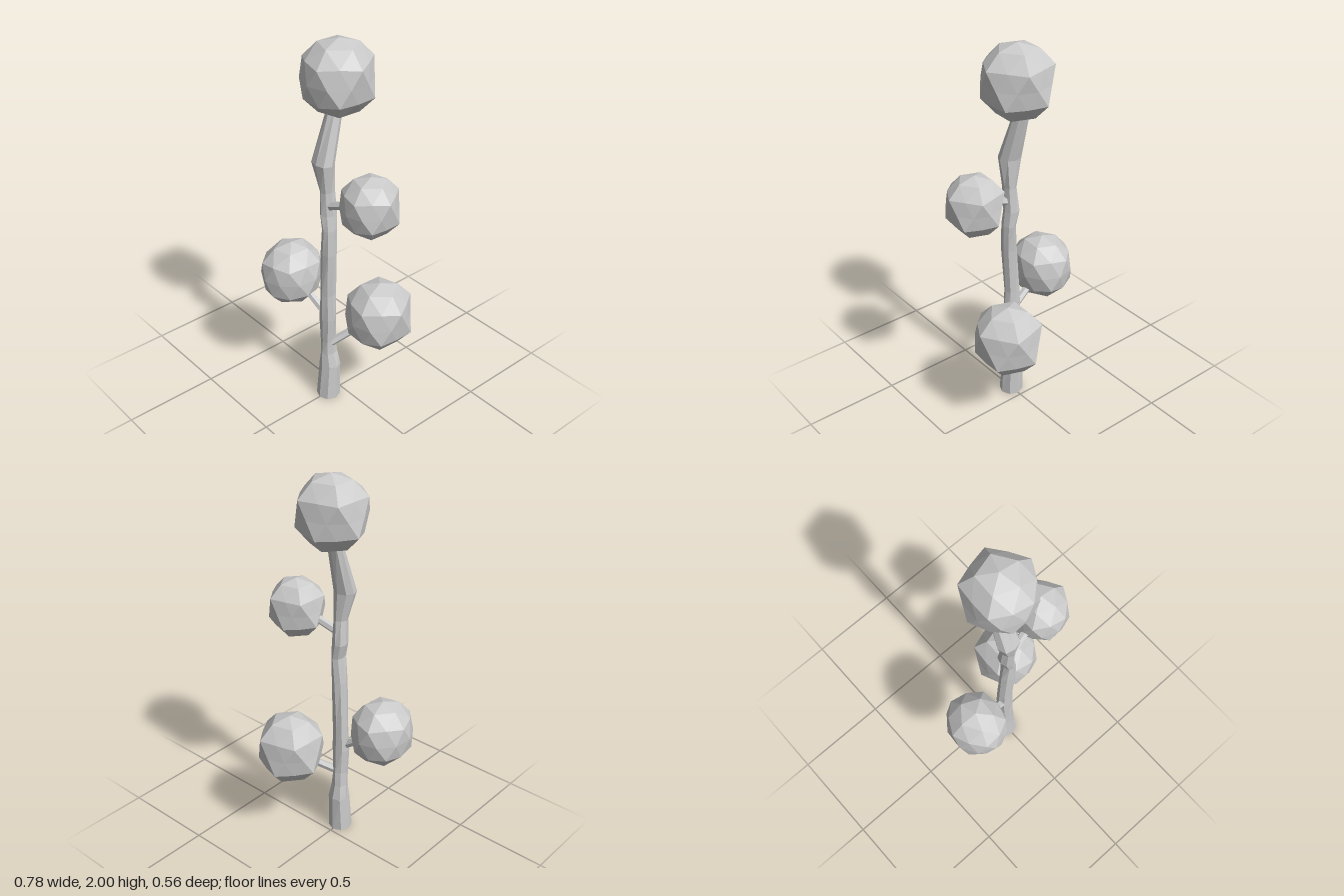
import * as THREE from 'three';

const material = new THREE.MeshStandardMaterial({ color: 0xcccccc, flatShading: true });

// Trunk rings: [height, centre x, centre z, radius x, radius z]
const RINGS = [
  [0, 0, 0.08, 0.062, 0.062],
  [0.2, 0.001, 0.068, 0.055, 0.054],
  [0.28, -0.003, 0.073, 0.04, 0.044],
  [0.36, -0.003, 0.075, 0.038, 0.04],
  [0.5, -0.004, 0.075, 0.046, 0.04],
  [0.65, -0.004, 0.075, 0.04, 0.038],
  [0.9, 0.007, 0.078, 0.04, 0.04],
  [1.04, 0.014, 0.074, 0.031, 0.042],
  [1.12, 0, 0.072, 0.037, 0.044],
  [1.25, 0.002, 0.08, 0.032, 0.04],
  [1.4, -0.01, 0.09, 0.06, 0.052],
  [1.68, -0.018, 0.006, 0.038, 0.034],
];

// Knobbly eight-sided stem lofted through the rings
function makeTrunk() {
  const n = RINGS.length - 1;
  const geo = new THREE.CylinderGeometry(1, 1, n, 8, n);
  const p = geo.attributes.position;
  for (let i = 0; i < p.count; i++) {
    const k = Math.round(p.getY(i) + n / 2);
    const [y, cx, cz, rx, rz] = RINGS[k];
    const x = p.getX(i), z = p.getZ(i);
    const side = Math.round(Math.atan2(z, x) / (Math.PI / 4) + 8) % 8;
    const bump = k === 0 ? 1 : 1 + 0.06 * Math.sin(side * 2.4 + k * 1.9);
    p.setXYZ(i, cx + x * rx * bump, y, cz + z * rz * bump);
  }
  const mesh = new THREE.Mesh(geo, material);
  mesh.name = 'trunk';
  return mesh;
}

// Faceted ball: full caps, a pinched waist, and flatter facets round the back
function makeFoliage(name, [x, y, z], [rx, ry, rz], waist, turn = 0) {
  const geo = new THREE.IcosahedronGeometry(1, 1);
  geo.rotateX(-Math.atan((1 + Math.sqrt(5)) / 2));
  geo.rotateY(THREE.MathUtils.degToRad(15));
  const p = geo.attributes.position;
  const v = new THREE.Vector3();
  for (let i = 0; i < p.count; i++) {
    v.fromBufferAttribute(p, i);
    const h = Math.abs(v.y);
    const front = THREE.MathUtils.smoothstep(v.z, 0.1, 0.8);
    if (h < 0.1) v.multiplyScalar(THREE.MathUtils.lerp(waist, 0.93, front));
    else if (Math.abs(h - 0.526) < 0.02) v.multiplyScalar(THREE.MathUtils.lerp(waist + 0.03, 0.98, front));
    p.setXYZ(i, v.x, v.y, v.z);
  }
  geo.rotateY(turn);
  geo.scale(rx, ry, rz);
  const mesh = new THREE.Mesh(geo, material);
  mesh.name = name;
  mesh.position.set(x, y, z);
  return mesh;
}

// Short tapered twig from the trunk into a foliage ball
function makeBranch(name, from, to) {
  const a = new THREE.Vector3(...from), b = new THREE.Vector3(...to);
  const dir = b.clone().sub(a);
  const mesh = new THREE.Mesh(new THREE.CylinderGeometry(0.02, 0.022, dir.length(), 6), material);
  mesh.name = name;
  mesh.position.copy(a).add(b).multiplyScalar(0.5);
  mesh.quaternion.setFromUnitVectors(new THREE.Vector3(0, 1, 0), dir.normalize());
  return mesh;
}

export function createModel() {
  const tree = new THREE.Group();
  tree.name = 'tree';
  tree.add(
    makeTrunk(),
    makeFoliage('topFoliage', [0.006, 1.815, 0.012], [0.192, 0.185, 0.19], 0.85),
    makeFoliage('upperLeftFoliage', [0.25, 1.255, 0.028], [0.157, 0.155, 0.155], 0.85),
    makeFoliage('lowerLeftFoliage', [0.173, 0.528, -0.118], [0.188, 0.188, 0.188], 0.85),
    makeFoliage('rightFoliage', [-0.24, 0.685, 0.117], [0.163, 0.175, 0.178], 0.93, 0.6),
    makeBranch('upperLeftBranch', [0.01, 1.17, 0.08], [0.17, 1.23, 0.05]),
    makeBranch('lowerLeftBranch', [0.02, 0.35, 0.075], [0.11, 0.45, -0.05]),
    makeBranch('rightBranch', [0, 0.51, 0.08], [-0.15, 0.61, 0.1]),
  );
  return tree;
}
